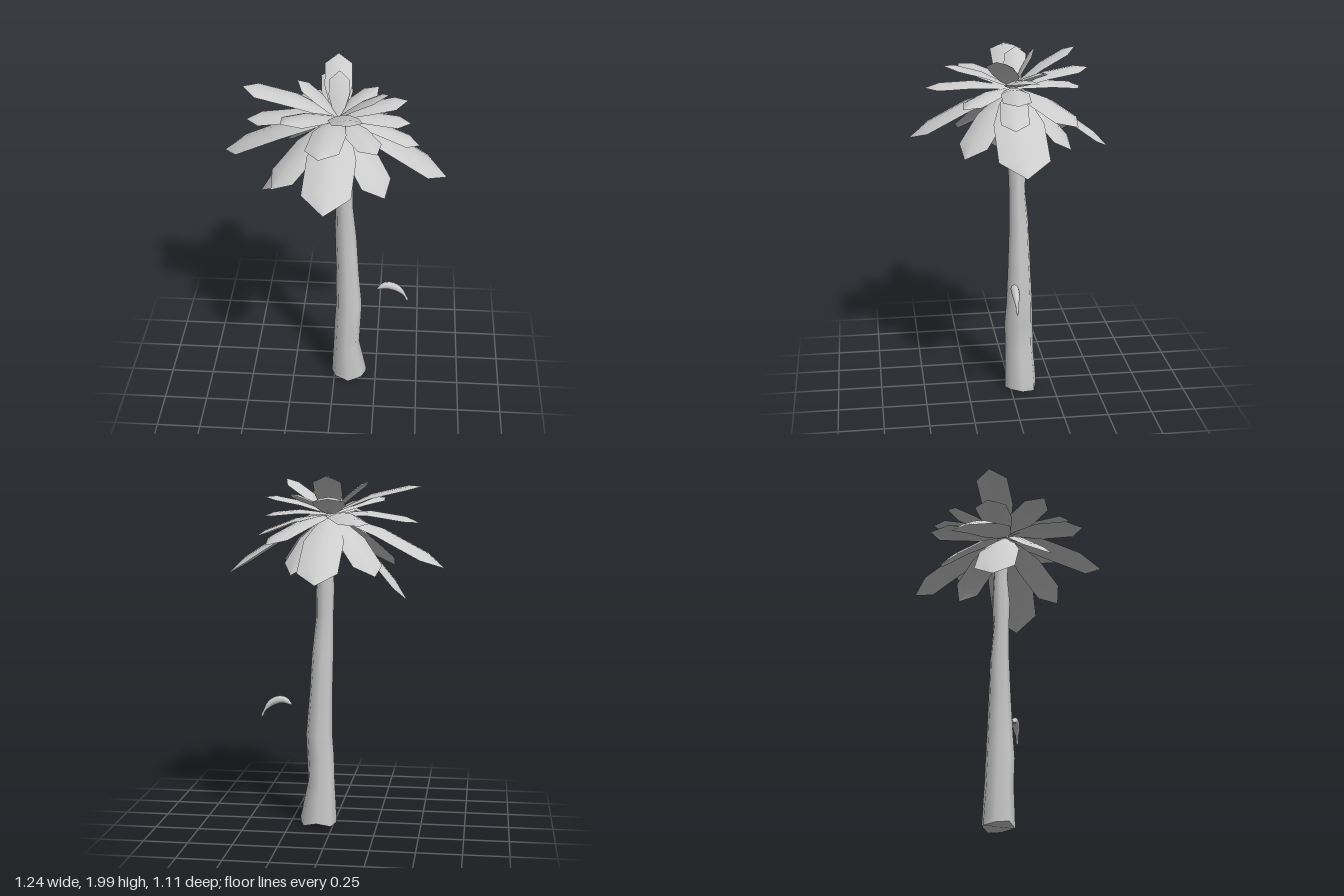
import * as THREE from 'three';
import { mergeVertices, toCreasedNormals } from 'three/addons/utils/BufferGeometryUtils.js';

const material = new THREE.MeshStandardMaterial({ color: 0xcccccc });
const leafMaterial = new THREE.MeshStandardMaterial({ color: 0xcccccc, side: THREE.DoubleSide });
const CROWN = new THREE.Vector3(0.02, 1.775, -0.02);

// Trunk rings from top to bottom: y, centre x, centre z, radius x, radius z
const RINGS = [
  [1.77, 0.035, -0.035, 0.034, 0.036],
  [1.5, 0.042, -0.045, 0.042, 0.042],
  [1.35, 0.05, -0.043, 0.052, 0.052],
  [1.2, 0.053, -0.043, 0.05, 0.046],
  [1.0, 0.063, -0.052, 0.061, 0.055],
  [0.75, 0.074, -0.053, 0.066, 0.065],
  [0.53, 0.084, -0.053, 0.076, 0.075],
  [0.4, 0.077, -0.05, 0.078, 0.082],
  [0.25, 0.071, -0.055, 0.077, 0.082],
  [0.04, 0.088, -0.06, 0.105, 0.092],
  [0.012, 0.087, -0.06, 0.104, 0.092],
];

function createTrunk() {
  const rows = RINGS.length - 1;
  let geo = new THREE.CylinderGeometry(1, 1, 1, 8, rows);
  const p = geo.attributes.position;
  for (let i = 0; i < p.count; i++) {
    const row = Math.round((0.5 - p.getY(i)) * rows);
    const [y, cx, cz, rx, rz] = RINGS[row];
    const x = p.getX(i), z = p.getZ(i);
    // slightly squared section and uneven foot
    const bulge = 1 + 0.24 * x * x * z * z;
    const wave = row === rows ? 0.012 * Math.sin(3 * Math.atan2(z, x)) * Math.hypot(x, z) : 0;
    p.setXYZ(i, cx + x * rx * bulge, y + wave, cz + z * rz * bulge);
  }
  geo.deleteAttribute('uv');
  geo.deleteAttribute('normal');
  geo = toCreasedNormals(mergeVertices(geo, 1e-4), 1.0);
  const mesh = new THREE.Mesh(geo, material);
  mesh.name = 'trunk';
  return mesh;
}

// Pointed leaf from the crown to its tip, arched along its length and across its width
function createLeaf(tx, ty, tz, width) {
  const span = new THREE.Vector3(tx, ty, tz).sub(CROWN);
  const length = span.length();
  const side = new THREE.Vector3(-span.z, 0, span.x).normalize();
  const shoulder = 1 - Math.min(0.3, 0.45 * width / length);
  const sections = [[0, 0.12], [0.2, 0.65], [0.45, 1], [shoulder, 1], [1, 0]];
  const cols = 4, verts = [], index = [];
  sections.forEach(([t, w], i) => {
    for (let j = 0; j <= cols; j++) {
      const s = (j / cols) * 2 - 1;
      const half = w * width / 2;
      const v = CROWN.clone().addScaledVector(span, t).addScaledVector(side, s * half);
      v.y += 0.23 * length * t * (1 - t * t) - 0.3 * half * s * s;
      verts.push(v.x, v.y, v.z);
      if (i && j) {
        const d = i * (cols + 1) + j, c = d - 1, b = d - cols - 1, a = b - 1;
        index.push(a, c, b, b, c, d);
      }
    }
  });
  const geo = new THREE.BufferGeometry();
  geo.setAttribute('position', new THREE.Float32BufferAttribute(verts, 3));
  geo.setIndex(index);
  geo.computeVertexNormals();
  return new THREE.Mesh(geo, leafMaterial);
}

// Leaf tips (x, y, z) and widths
const LEAVES = [
  // large drooping leaves
  [0.615, 1.43, -0.02, 0.27], [-0.62, 1.49, -0.14, 0.26],
  [0.035, 1.43, -0.555, 0.22], [-0.02, 1.5, 0.55, 0.26], [-0.41, 1.3, -0.03, 0.23],
  // drooping diagonal leaves
  [-0.32, 1.47, 0.25, 0.2], [0.285, 1.45, 0.27, 0.2],
  [0.2, 1.46, -0.32, 0.19], [-0.26, 1.46, -0.35, 0.19],
  // middle leaves
  [-0.48, 1.73, -0.05, 0.18], [0.46, 1.64, 0.02, 0.15], [0.41, 1.76, 0, 0.15],
  [0.335, 1.62, -0.33, 0.19], [-0.18, 1.73, -0.43, 0.18],
  [-0.05, 1.77, 0.455, 0.18], [0.24, 1.71, 0.27, 0.15],
  // rising leaves
  [-0.49, 1.93, -0.04, 0.18], [0.39, 1.87, -0.05, 0.16],
  [-0.02, 1.87, -0.445, 0.17], [0.1, 1.92, 0.365, 0.16],
  [-0.26, 1.86, 0.25, 0.17], [0.29, 1.97, 0.1, 0.15],
  [0.0, 1.99, -0.365, 0.15], [-0.2, 1.96, -0.07, 0.12],
  [0.23, 1.89, -0.17, 0.13], [0.02, 1.99, -0.14, 0.11],
];

// Curved fruit floating beside the trunk
function createFruit() {
  const curve = new THREE.CatmullRomCurve3(
    [[0.245, 0.677], [0.3, 0.71], [0.36, 0.697], [0.405, 0.655], [0.432, 0.6]]
      .map(([x, y]) => new THREE.Vector3(x, y, 0.005)));
  const radii = [0, 0.009, 0.017, 0.021, 0.023, 0.023, 0.022, 0.019, 0.015, 0.009, 0.007, 0.008, 0];
  const rings = radii.length - 1, sides = 8;
  const geo = new THREE.TubeGeometry(curve, rings, 1, sides);
  const p = geo.attributes.position, v = new THREE.Vector3();
  for (let i = 0; i < p.count; i++) {
    const ring = Math.floor(i / (sides + 1));
    const c = curve.getPointAt(ring / rings);
    v.fromBufferAttribute(p, i).sub(c).multiplyScalar(radii[ring]).add(c);
    p.setXYZ(i, v.x, v.y, v.z);
  }
  const mesh = new THREE.Mesh(geo, material);
  mesh.name = 'fruit';
  return mesh;
}

export function createModel() {
  const model = new THREE.Group();
  model.name = 'palmTree';
  const crown = new THREE.Group();
  crown.name = 'crown';
  LEAVES.forEach((leaf, i) => {
    const mesh = createLeaf(...leaf);
    mesh.name = `leaf${i + 1}`;
    crown.add(mesh);
  });
  model.add(createTrunk(), crown, createFruit());
  return model;
}
